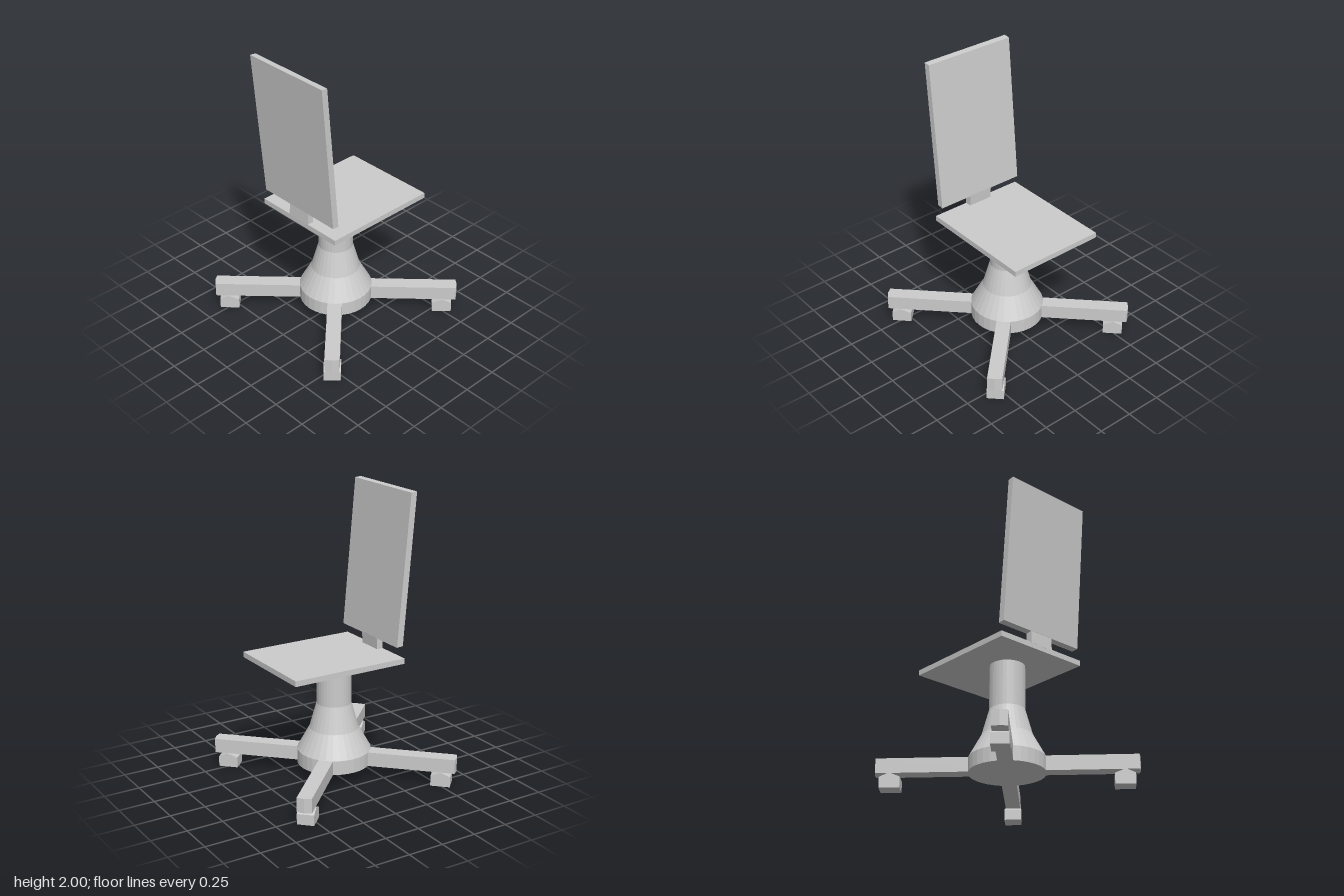
import * as THREE from 'three';

const material = new THREE.MeshStandardMaterial({ color: 0xcccccc, flatShading: true });

function part(name, geometry) {
  const mesh = new THREE.Mesh(geometry, material);
  mesh.name = name;
  return mesh;
}

// Extrudes an outline of [x, y] points, centred on its depth
function prism(points, depth) {
  const shape = new THREE.Shape(points.map(([x, y]) => new THREE.Vector2(x, y)));
  const geometry = new THREE.ExtrudeGeometry(shape, { depth, bevelEnabled: false });
  return geometry.translate(0, 0, -depth / 2);
}

// Side profile given as [z, y], extruded across the chair's width
const sideProfile = (points, width) => prism(points, width).rotateY(-Math.PI / 2);

export function createModel() {
  const chair = new THREE.Group();
  chair.name = 'swivelChair';

  // Flared pedestal with its flat hub
  const profile = [[0, 0.1], [0.255, 0.1], [0.255, 0.2], [0.17, 0.355], [0.12, 0.535], [0.12, 0.85]];
  chair.add(part('pedestal', new THREE.LatheGeometry(
    profile.map(([r, y]) => new THREE.Vector2(r, y)), 32)));

  // Seat board
  const seat = part('seat', new THREE.BoxGeometry(0.7, 0.038, 0.843));
  seat.position.set(0, 0.867, -0.085);
  chair.add(seat);

  // Bracket and leaning backrest
  chair.add(part('backBracket', sideProfile(
    [[0.337, 0.88], [0.291, 0.88], [0.287, 0.97], [0.333, 0.97]], 0.18)));
  chair.add(part('backrest', sideProfile(
    [[0.334, 0.967], [0.287, 0.963], [0.381, 1.996], [0.425, 2]], 0.66)));

  // Four diagonal arms, each with a caster
  const armGeometry = prism([[0.1, -0.05], [0.848, -0.05], [0.856, 0], [0.848, 0.05], [0.1, 0.05]], 0.1)
    .rotateX(-Math.PI / 2).translate(0, 0.15, 0);
  const casterGeometry = prism([[0.686, 0], [0.82, 0], [0.82, 0.073], [0.757, 0.102], [0.686, 0.073]], 0.114);
  for (let i = 0; i < 4; i++) {
    const leg = new THREE.Group();
    leg.name = 'leg';
    leg.add(part('arm', armGeometry), part('caster', casterGeometry));
    leg.rotation.y = Math.PI / 4 + (i * Math.PI) / 2;
    chair.add(leg);
  }

  return chair;
}
